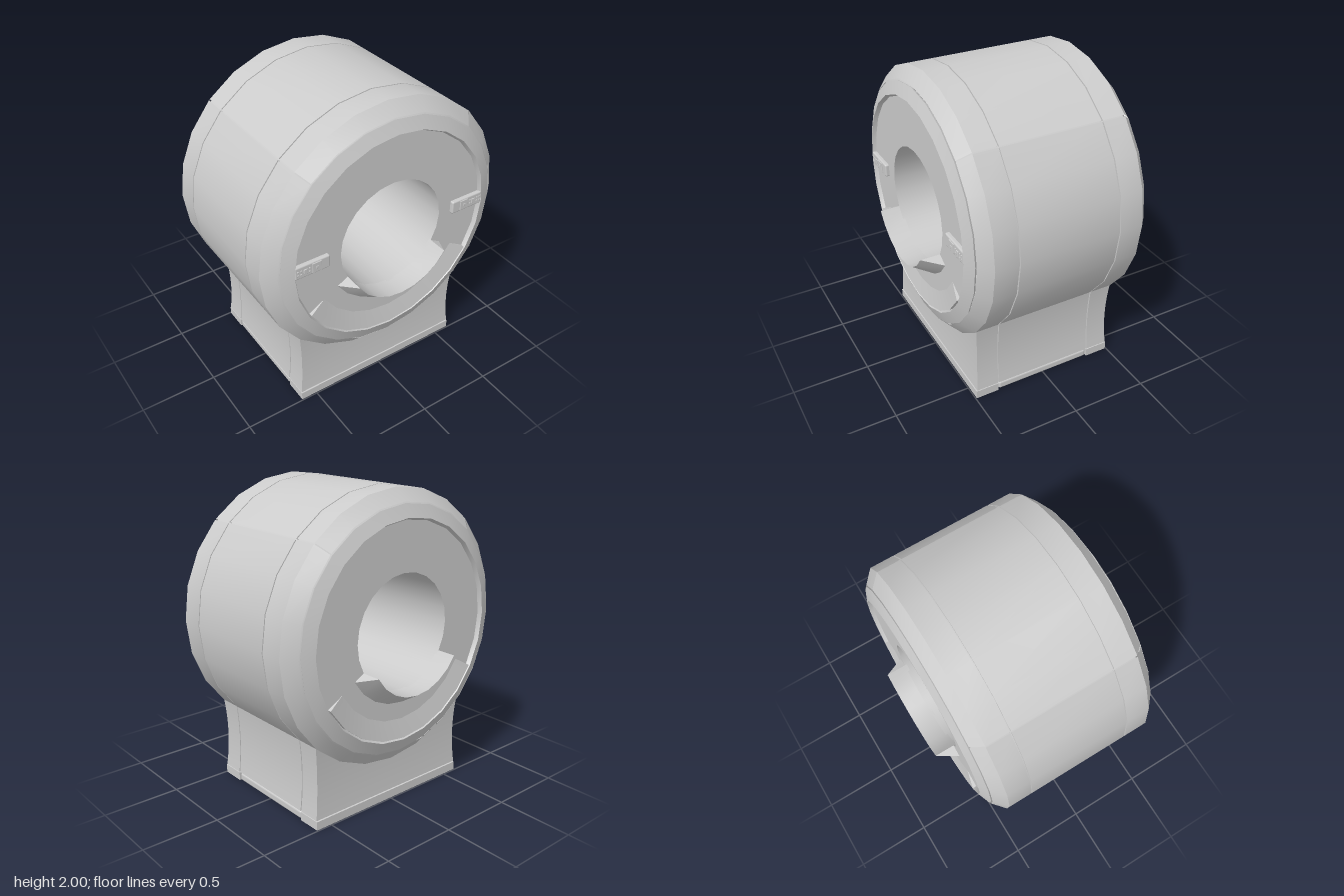
import * as THREE from 'three';
import { toCreasedNormals } from 'three/addons/utils/BufferGeometryUtils.js';
import { RoundedBoxGeometry } from 'three/addons/geometries/RoundedBoxGeometry.js';

const AXIS_Y = 1.143;      // height of the bore axis
const R = 0.857;           // outer radius of the housing
const BORE = 0.365;
const SEAM_Z = 0.335;      // joint between middle section and end shells
const GAP = 0.004;         // half width of a panel gap
const SIDES = 24;

const grey = new THREE.MeshStandardMaterial({ color: 0xcccccc, side: THREE.DoubleSide });

function part(parent, name, geometry) {
  const mesh = new THREE.Mesh(geometry, grey);
  mesh.name = name;
  parent.add(mesh);
  return mesh;
}

// Profile of [radius, z] turned about the bore axis; phi = 0 points down
function turned(profile, phi = 0, sweep = Math.PI * 2) {
  const points = profile.map(([r, z]) => new THREE.Vector2(r, z));
  const segments = Math.round((sweep / (Math.PI * 2)) * SIDES);
  const geo = new THREE.LatheGeometry(points, segments, phi, sweep);
  return toCreasedNormals(geo.rotateX(Math.PI / 2).translate(0, AXIS_Y, 0), 0.5);
}

// Lower arc of a closed profile, with flat caps on both ends
function lowerArc(parent, name, profile) {
  const group = new THREE.Group();
  group.name = name;
  parent.add(group);
  const half = Math.PI / 3;
  part(group, name + 'Surface', turned([...profile, profile[0]], -half, half * 2));
  for (const phi of [-half, half]) {
    const cap = new THREE.ShapeGeometry(new THREE.Shape(profile.map(([r, z]) => new THREE.Vector2(r, z))));
    cap.rotateY(phi - Math.PI / 2).rotateX(Math.PI / 2).translate(0, AXIS_Y, 0);
    part(group, name + 'End', cap);
  }
}

// Two covers split along the upper diagonals, leaving a fine gap
function splitCover(parent, name, profile) {
  const g = GAP / R;
  part(parent, name + 'Top', turned(profile, Math.PI * 0.75 + g, Math.PI / 2 - 2 * g));
  part(parent, name + 'Sides', turned(profile, Math.PI * 1.25 + g, Math.PI * 1.5 - 2 * g));
}

// Waisted block of the pedestal between z0 and z1
function waisted(z0, z1, inset = 0) {
  const y0 = 0.062, y1 = 0.56;
  const geo = new THREE.BoxGeometry(2, y1 - y0, z1 - z0, 4, 10, 1);
  geo.translate(0, (y0 + y1) / 2, (z0 + z1) / 2);
  const p = geo.attributes.position;
  for (let i = 0; i < p.count; i++) {
    const t = (p.getY(i) - 0.3) / 0.25;
    const z = p.getZ(i);
    p.setX(i, p.getX(i) * (0.592 + 0.017 * t * t - inset));
    if (Math.abs(z) > 0.4) p.setZ(i, Math.sign(z) * (0.479 + 0.01 * t * t - inset));
  }
  return toCreasedNormals(geo, 0.5);
}

// Everything on one end of the machine, built facing +z
function endAssembly() {
  const end = new THREE.Group();
  end.name = 'endAssembly';
  splitCover(end, 'shell', [[R - 0.012, SEAM_Z + GAP], [R, SEAM_Z + GAP], [R, 0.492], [0.778, 0.563]]);
  part(end, 'rim', turned([[0.762, 0.555], [0.77, 0.568], [0.69, 0.6], [0.676, 0.574]]));
  part(end, 'facePlate', turned([[0.68, 0.575], [BORE, 0.575]]));
  lowerArc(end, 'lowerTrim', [[0.677, 0.57], [0.677, 0.6], [0.555, 0.575]]);
  lowerArc(end, 'tableCradle', [[BORE, 0.56], [0.454, 0.56], [BORE, 0.704]]);
  part(end, 'pedestalShell', waisted(SEAM_Z + GAP, 0.49));
  part(end, 'plinthShell', new THREE.BoxGeometry(1.216, 0.056, 0.156).translate(0, 0.028, 0.415));
  return end;
}

// Small operating panel with a screen and keys
function controlPanel(side) {
  const panel = new THREE.Group();
  panel.name = side > 0 ? 'leftControlPanel' : 'rightControlPanel';
  const add = (name, x, y, w, h, z, d) =>
    part(panel, name, new RoundedBoxGeometry(w, h, d, 2, Math.min(w, h, d) * 0.3)).position.set(side * x, y, z);
  add('panelBase', 0.57, 1.16, 0.235, 0.086, 0.583, 0.034);
  add('screen', 0.543, 1.16, 0.062, 0.066, 0.6, 0.01);
  add('dial', 0.543, 1.16, 0.018, 0.018, 0.604, 0.008);
  add('largeKey', 0.618, 1.16, 0.026, 0.032, 0.6, 0.01);
  for (const x of [0.592, 0.648, 0.668])
    for (const y of [1.148, 1.172]) add('smallKey', x, y, 0.01, 0.01, 0.6, 0.008);
  return panel;
}

export function createModel() {
  const model = new THREE.Group();
  model.name = 'ringScanner';

  // Middle housing with the inner core that backs the panel gaps
  const m = SEAM_Z - GAP;
  splitCover(model, 'middleCover', [[R - 0.012, -m], [R, -m], [R, m], [R - 0.012, m]]);
  part(model, 'core', turned([[0.757, -0.55], [R - 0.012, -0.485], [R - 0.012, 0.485], [0.757, 0.55]]));
  part(model, 'bore', turned([[BORE, 0.575], [BORE, -0.575]]));

  // Pedestal and plinth
  part(model, 'pedestalMiddle', waisted(-m, m));
  part(model, 'pedestalCore', waisted(-0.47, 0.47, 0.01));
  part(model, 'plinthMiddle', new RoundedBoxGeometry(1.212, 0.056, m * 2, 3, 0.016)).position.y = 0.03;
  part(model, 'plinthCore', new THREE.BoxGeometry(1.18, 0.07, 0.95).translate(0, 0.04, 0));

  // Matching front and back ends
  const front = endAssembly();
  const back = endAssembly();
  back.rotation.y = Math.PI;
  model.add(front, back);

  model.add(controlPanel(1), controlPanel(-1));
  return model;
}
